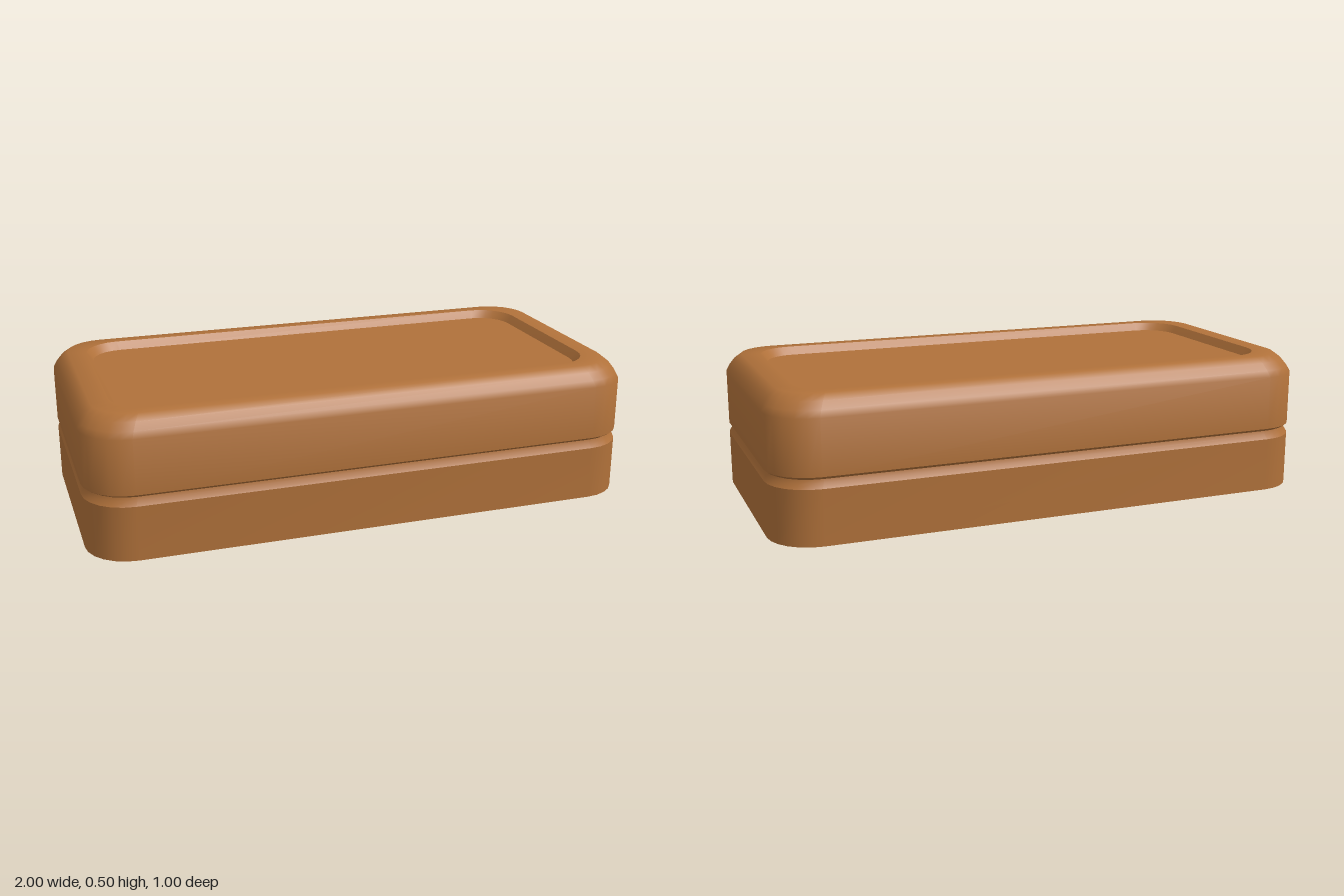
import * as THREE from 'three';
import { toCreasedNormals } from 'three/addons/utils/BufferGeometryUtils.js';

const CORNER_STEPS = 6;

// Rounded rectangle of half sizes hx, hz with corner radius r at height y
function ring([hx, hz, r, y]) {
  const points = [];
  for (let c = 0; c < 4; c++) {
    const sx = c === 0 || c === 3 ? 1 : -1;
    const sz = c < 2 ? 1 : -1;
    for (let i = 0; i <= CORNER_STEPS; i++) {
      const t = (c + i / CORNER_STEPS) * Math.PI / 2;
      points.push([sx * (hx - r) + r * Math.cos(t), y, sz * (hz - r) + r * Math.sin(t)]);
    }
  }
  return points;
}

// Skin a stack of rings; optionally close the first and last with flat caps
function loft(sections, capStart, capEnd) {
  const rings = sections.map(ring);
  const n = rings[0].length;
  const pos = [];
  const tri = (a, b, c) => pos.push(...a, ...b, ...c);
  for (let i = 0; i < n; i++) {
    const k = (i + 1) % n;
    for (let j = 0; j < rings.length - 1; j++) {
      const lo = rings[j], hi = rings[j + 1];
      tri(lo[i], hi[i], lo[k]);
      tri(hi[i], hi[k], lo[k]);
    }
    const first = rings[0], last = rings[rings.length - 1];
    if (capStart) tri([0, first[0][1], 0], first[i], first[k]);
    if (capEnd) tri([0, last[0][1], 0], last[k], last[i]);
  }
  const geometry = new THREE.BufferGeometry();
  geometry.setAttribute('position', new THREE.Float32BufferAttribute(pos, 3));
  return toCreasedNormals(geometry, 0.8);
}

// Outer section pulled in by d at height y
const outer = (d, y) => [1 - d, 0.5 - d, 0.16 - d * 0.4, y];

export function createModel() {
  const group = new THREE.Group();
  const wood = new THREE.MeshStandardMaterial({ color: 0xb0713a });
  wood.name = 'warm brown';

  const add = (name, geometry) => {
    const mesh = new THREE.Mesh(geometry, wood);
    mesh.name = name;
    group.add(mesh);
  };

  // Lower box
  add('base', loft([outer(0, 0), outer(0, 0.195)], true, false));

  // Shallow seam between box and lid
  add('seamGroove', loft([
    outer(0, 0.195), outer(0.009, 0.212), outer(0.012, 0.225), outer(0, 0.235),
  ], false, false));

  // Lid with rounded upper edge and sloping recess wall
  const recessEdge = [0.88, 0.4, 0.13, 0.5];
  const recessFoot = [0.857, 0.377, 0.115, 0.472];
  add('lid', loft([
    outer(0, 0.235), outer(0, 0.43), outer(0.011, 0.453), outer(0.029, 0.479),
    outer(0.054, 0.5), recessEdge, recessFoot,
  ], false, false));

  // Sunken panel in the lid
  add('lidPanel', loft([recessFoot], false, true));

  return group;
}
